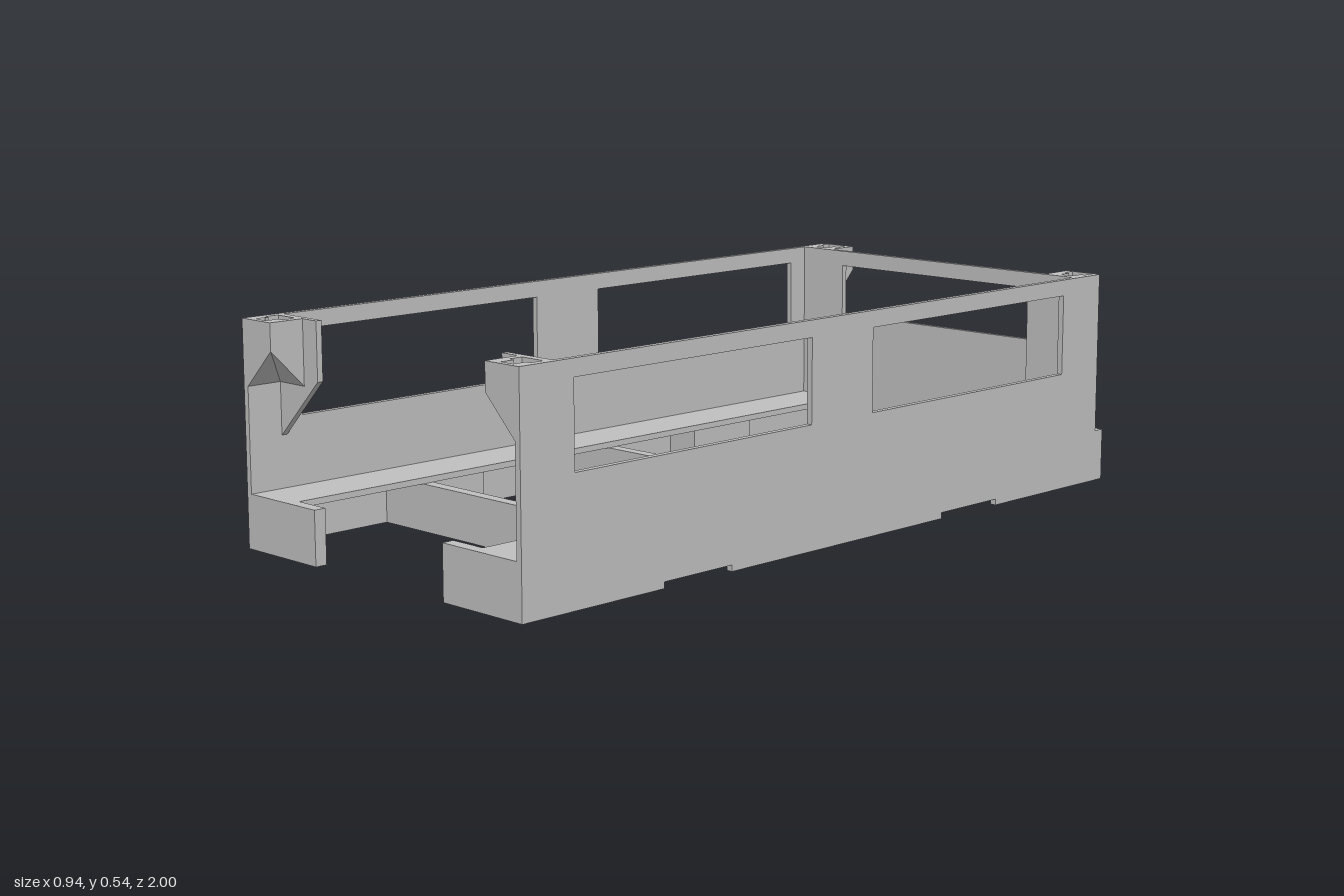
import * as THREE from 'three';
import { ConvexGeometry } from 'three/addons/geometries/ConvexGeometry.js';

const WALL = 0.015, HALF = 0.47, INNER = 0.455, FLOOR = 0.13, TOP = 0.535, EDGE = 0.315;

export function createModel() {
  const group = new THREE.Group();
  const grey = new THREE.MeshStandardMaterial({ color: 0xbfbfbf });
  grey.name = 'plain grey';

  const add = (name, geometry) => {
    const mesh = new THREE.Mesh(geometry, grey);
    mesh.name = name;
    group.add(mesh);
    return mesh;
  };
  // Box given by its limits on each axis, in any order
  const block = (name, x0, x1, y0, y1, z0, z1) => {
    const g = new THREE.BoxGeometry(Math.abs(x1 - x0), Math.abs(y1 - y0), Math.abs(z1 - z0));
    add(name, g.translate((x0 + x1) / 2, (y0 + y1) / 2, (z0 + z1) / 2));
  };
  const outline = (pts) => new THREE.Shape(pts.map(([a, b]) => new THREE.Vector2(a, b)));
  const rect = (a0, a1, b0, b1) => outline([[a0, b0], [a1, b0], [a1, b1], [a0, b1]]);
  const extrude = (shape, depth) =>
    new THREE.ExtrudeGeometry(shape, { depth, bevelEnabled: false, curveSegments: 16 });
  // Plan shape drawn in x and -z, raised from y0 to y1
  const raise = (shape, y0, y1) =>
    extrude(shape, y1 - y0).rotateX(-Math.PI / 2).translate(0, y0, 0);

  // Corner post: slotted block on top of a sloped, hollowed corner bracket
  const cornerPost = (s, zPanel, zFree, slot) => {
    const xi = s * INNER, xf = s * 0.365;
    const plan = rect(xi, xf, -zPanel, -zFree);
    plan.holes.push(outline(slot.map(([x, z]) => [s * x, -z])));
    add('cornerPostTop', raise(plan, 0.47, TOP));
    const p = (x, y, z) => new THREE.Vector3(x, y, z);
    const low = 0.38, high = 0.47;
    for (const [x, z] of [[xf, zPanel], [xi, zFree]]) {
      add('cornerPostBracket', new ConvexGeometry([
        p(xi, low, zPanel), p(x, low, z), p(xf, high, zFree),
        p(xi, high, zPanel), p(x, high, z),
      ]));
    }
  };
  // T-shaped slot outline starting at depth z
  const tSlot = (z) => [
    [0.45, z], [0.385, z], [0.385, z + 0.035], [0.4, z + 0.035],
    [0.4, z + 0.07], [0.437, z + 0.07], [0.437, z + 0.035], [0.45, z + 0.035],
  ];

  for (const s of [1, -1]) {
    // Side wall with two windows and shallow notches over the mounts
    const wall = outline([
      [-1, 0], [-0.56, 0], [-0.56, 0.015], [-0.35, 0.015], [-0.35, 0],
      [0.38, 0], [0.38, 0.015], [0.59, 0.015], [0.59, 0],
      [1, 0], [1, TOP], [-0.97, TOP], [-0.97, FLOOR], [-1, FLOOR],
    ]);
    wall.holes.push(rect(0.12, 0.85, 0.295, 0.495), rect(-0.82, -0.09, 0.295, 0.495));
    add('sideWall', extrude(wall, WALL).rotateY(-Math.PI / 2)
      .translate(s > 0 ? HALF : -INNER, 0, 0));

    // Floor shelf and front lip
    block('floorShelf', s * EDGE, s * INNER, FLOOR - WALL, FLOOR, -0.987, 0.985);
    block('frontLip', s * 0.22, s * INNER, 0, FLOOR, 0.97, 1);

    // Front gusset with a diagonal lower edge
    add('frontGusset', extrude(outline([
      [s * INNER, 0.255], [s * EDGE, 0.395], [s * EDGE, TOP], [s * INNER, TOP],
    ]), WALL).translate(0, 0, 0.895));
    // Rear frame upright
    block('rearUpright', s * EDGE, s * INNER, FLOOR, TOP, -0.89, -0.875);

    cornerPost(s, 0.91, 1, tSlot(0.916));
    cornerPost(s, -0.89, -0.975, tSlot(-0.97));

    // Mounts under the shelf, each with two screw holes
    for (const z of [0.485, -0.455]) {
      const plate = rect(s * 0.365, s * INNER, -z - 0.105, -z + 0.105);
      for (const d of [-0.053, 0.053]) {
        const hole = new THREE.Path();
        hole.absarc(s * 0.412, -z + d, 0.022, 0, Math.PI * 2);
        plate.holes.push(hole);
      }
      add('mountPlate', raise(plate, 0.015, 0.06));
      block('mountBlock', s * 0.365, s * INNER, 0.06, FLOOR - WALL, z - 0.105, z + 0.105);
    }
  }

  // Rear frame top beam
  block('rearTopBeam', -EDGE, EDGE, 0.495, TOP, -0.89, -0.875);

  // Rear plate, stepped in above floor level
  add('rearPlate', extrude(outline([
    [-INNER, 0], [INNER, 0], [INNER, FLOOR], [0.385, FLOOR],
    [0.385, 0.34], [-0.385, 0.34], [-0.385, FLOOR], [-INNER, FLOOR],
  ]), 0.013).translate(0, 0, -1));

  // Underframe beams
  block('frontCrossBeam', -INNER, INNER, 0, FLOOR - WALL, 0.58, 0.61);
  block('middleCrossBeam', -INNER, INNER, 0, FLOOR - WALL, -0.022, 0.008);
  block('centreBeam', -0.013, 0.013, 0, FLOOR - WALL, -0.987, 0.58);

  return group;
}
